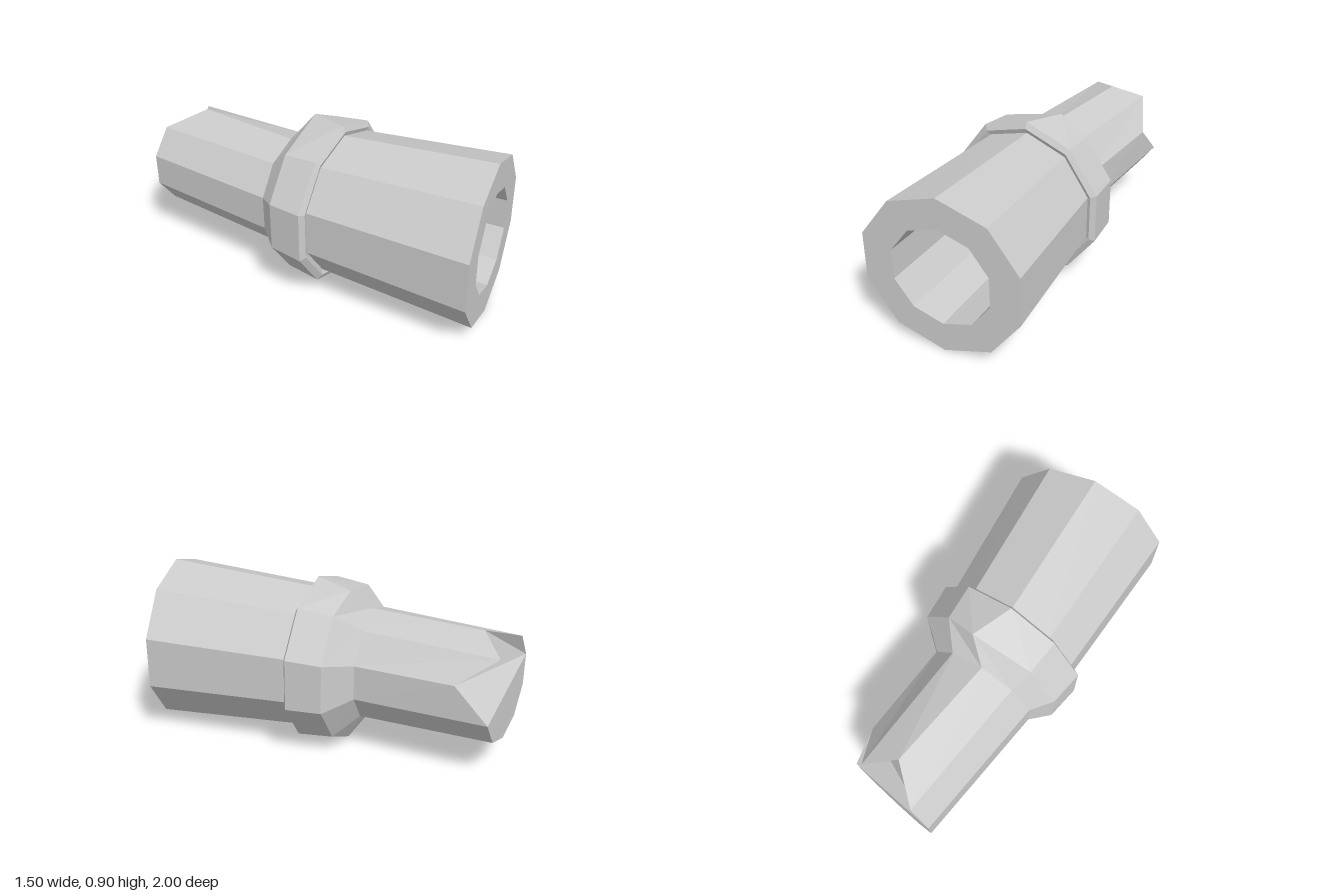
import * as THREE from 'three';

const SIDES = 10;
const CENTRE_Y = 0.457;

// Ten-sided ring: centre (x, z), sideways direction (sx, sz), radius.
// shifts maps a corner index to an offset [dx, dy, dz].
function ring(x, z, sx, sz, radius, shifts = {}) {
  const side = new THREE.Vector3(sx, 0, sz).normalize();
  return Array.from({ length: SIDES }, (_, i) => {
    const a = (i / SIDES) * Math.PI * 2;
    const p = new THREE.Vector3(x, CENTRE_Y + radius * Math.cos(a), z);
    p.addScaledVector(side, radius * Math.sin(a));
    if (shifts[i]) p.add(new THREE.Vector3(...shifts[i]));
    return p;
  });
}

// Facets joining consecutive rings.
function skin(rings) {
  const tris = [];
  for (let r = 0; r < rings.length - 1; r++) {
    for (let j = 0; j < SIDES; j++) {
      const k = (j + 1) % SIDES;
      const [a, b, c, d] = [rings[r][j], rings[r][k], rings[r + 1][j], rings[r + 1][k]];
      tris.push([a, b, c], [b, d, c]);
    }
  }
  return tris;
}

function facetMesh(name, tris) {
  const geometry = new THREE.BufferGeometry().setFromPoints(tris.flat());
  geometry.computeVertexNormals();
  const material = new THREE.MeshStandardMaterial({ color: 0xcccccc, flatShading: true });
  const mesh = new THREE.Mesh(geometry, material);
  mesh.name = name;
  return mesh;
}

export function createModel() {
  const group = new THREE.Group();
  group.name = 'pipeConnector';

  // Socket: bore floor, bore mouth, outer rim, root at the collar
  const floor = ring(-0.06, -0.04, 0.88, -0.47, 0.27);
  const socket = skin([
    floor,
    ring(0.4, 0.765, 0.83, -0.557, 0.28),
    ring(0.4, 0.765, 0.83, -0.557, 0.45),
    ring(-0.03, 0.02, 0.9, -0.44, 0.393),
  ]);
  for (let j = 1; j < SIDES - 1; j++) socket.push([floor[0], floor[j + 1], floor[j]]);
  group.add(facetMesh('socket', socket));

  // Collar: chamfered front, wide band, taper down to the spigot
  const crest = [0.06, 0, -0.06];
  group.add(facetMesh('collar', skin([
    ring(-0.03, 0.03, 0.894, -0.447, 0.36),
    ring(-0.02, 0.05, 0.894, -0.447, 0.42),
    ring(-0.03, 0.035, 0.894, -0.447, 0.452),
    ring(-0.115, -0.135, 0.892, -0.452, 0.43, { 0: crest, 5: crest }),
    ring(-0.195, -0.22, 0.877, -0.48, 0.307),
  ])));

  // Spigot with two corners of its end pulled in to form a notch
  const end = ring(-0.495, -0.905, 0.937, -0.349, 0.285, {
    0: [0.075, 0.02, 0.115],
    2: [0.08, 0.01, 0.16],
  });
  const spigot = skin([ring(-0.19, -0.21, 0.89, -0.455, 0.307), end]);
  const cap = [[0, 1, 2], [8, 9, 0], [8, 0, 2]];
  for (let j = 2; j < 7; j++) cap.push([8, j, j + 1]);
  spigot.push(...cap.map((t) => t.map((i) => end[i])));
  group.add(facetMesh('spigot', spigot));

  return group;
}
